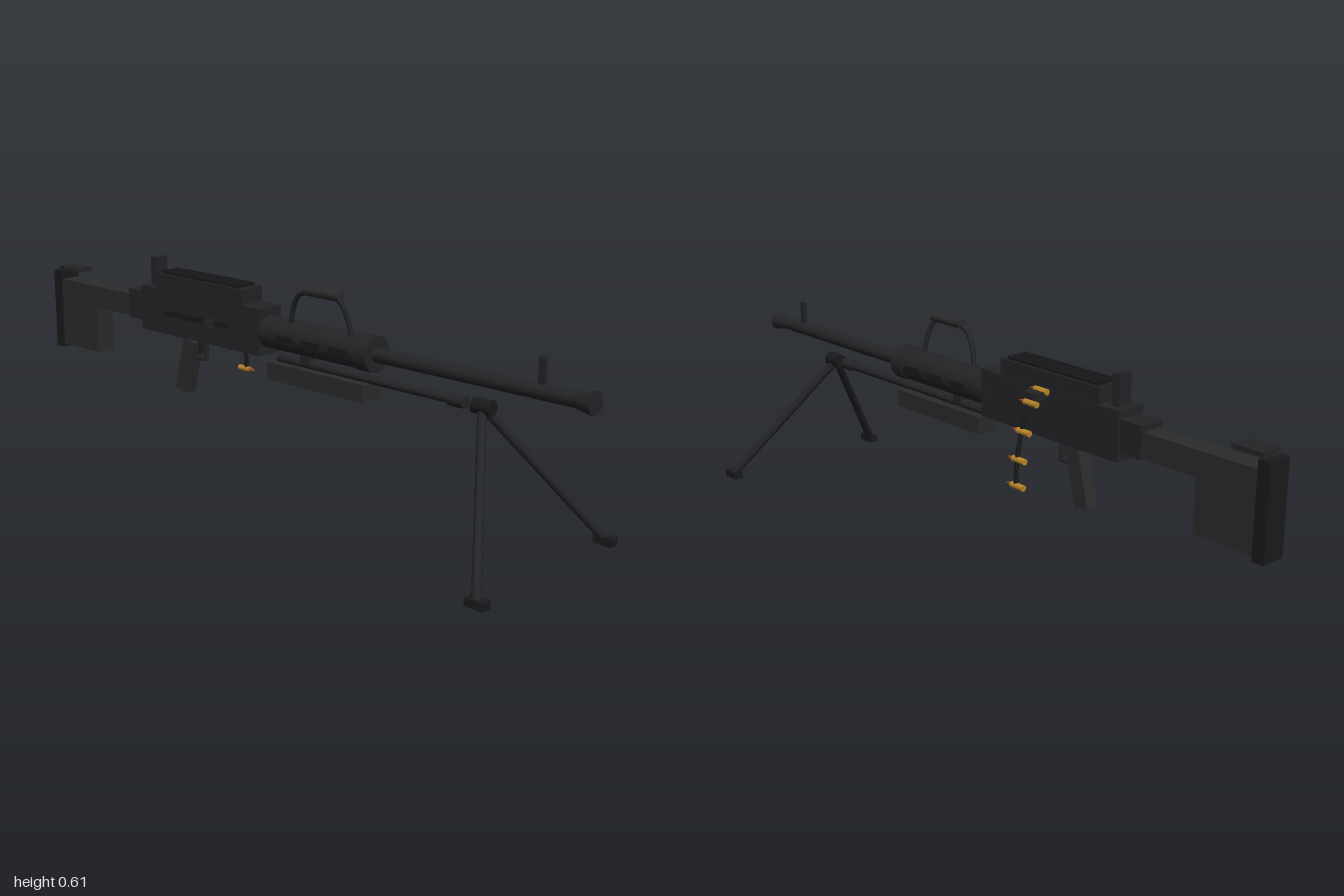
import * as THREE from 'three';

const material = (color) => new THREE.MeshStandardMaterial({ color });
const steel = material(0x242427);
const dark = material(0x1a1a1c);
const polymer = material(0x2b2b2b);
const brass = material(0xb8862b);
const copper = material(0x9a4f2c);
const V = (x, y, z) => new THREE.Vector3(x, y, z);

export function createModel() {
  const root = new THREE.Group();

  const add = (name, geometry, mat = steel, parent = root) => {
    const mesh = new THREE.Mesh(geometry, mat);
    mesh.name = name;
    parent.add(mesh);
    return mesh;
  };
  // Box given by its extents on each axis
  const box = (name, [x0, x1], [y0, y1], [z0, z1], mat, parent) => {
    const mesh = add(name, new THREE.BoxGeometry(x1 - x0, y1 - y0, z1 - z0), mat, parent);
    mesh.position.set((x0 + x1) / 2, (y0 + y1) / 2, (z0 + z1) / 2);
    return mesh;
  };
  // Cylinder along z, r1 at the front end z1
  const rod = (name, x, y, z0, z1, r0, r1 = r0, sides = 16, mat = steel, parent = root) => {
    const mesh = add(name, new THREE.CylinderGeometry(r1, r0, z1 - z0, sides).rotateX(Math.PI / 2), mat, parent);
    mesh.position.set(x, y, (z0 + z1) / 2);
    return mesh;
  };
  // Cylinder between two points
  const strut = (name, a, b, r, mat, parent) => {
    const mesh = add(name, new THREE.CylinderGeometry(r, r, a.distanceTo(b), 12), mat, parent);
    mesh.position.copy(a).lerp(b, 0.5);
    mesh.quaternion.setFromUnitVectors(V(0, 1, 0), b.clone().sub(a).normalize());
    return mesh;
  };
  const sym = (w) => [-w, w];

  // Barrel, muzzle and front sight
  rod('barrel', 0, 0.45, 0.3, 0.95, 0.02);
  rod('muzzleFlare', 0, 0.45, 0.94, 1, 0.019, 0.03);
  box('frontSight', sym(0.006), [0.45, 0.535], [0.845, 0.862]);

  // Barrel shroud with collar and side vents
  rod('barrelShroud', 0, 0.45, -0.06, 0.3, 0.047, 0.047, 12);
  rod('shroudCollar', 0, 0.45, 0.3, 0.345, 0.05, 0.05, 12);
  for (const side of [-1, 1])
    for (const z of [0.05, 0.15, 0.25])
      box('shroudVent', sym(0.004), [0.442, 0.458], [z - 0.032, z + 0.032], dark).position.x = side * 0.045;

  // Gas tube and lower handguard
  rod('gasTube', 0, 0.38, -0.01, 0.59, 0.012);
  rod('gasRegulator', 0, 0.38, 0.585, 0.635, 0.017);
  box('gasTubeBracket', sym(0.012), [0.38, 0.41], [0.08, 0.11]);
  box('lowerHandguard', sym(0.035), [0.322, 0.371], [-0.025, 0.33], polymer);

  // Receiver, top cover and ribs
  box('receiver', sym(0.044), [0.384, 0.518], [-0.55, -0.048]);
  box('topCover', sym(0.041), [0.515, 0.562], [-0.48, -0.12]);
  for (const x of [-0.028, -0.0093, 0.0093, 0.028])
    box('coverRib', [x - 0.005, x + 0.005], [0.56, 0.571], [-0.47, -0.14], dark);
  box('rearSight', sym(0.021), [0.515, 0.603], [-0.53, -0.505]);

  // Charging rail and handle
  box('chargingRail', [-0.054, -0.042], [0.442, 0.46], [-0.435, -0.17], dark);
  box('chargingHandle', [-0.081, -0.05], [0.44, 0.462], [-0.24, -0.22]);

  // Carrying handle, leaning to one side
  const handle = new THREE.Group();
  handle.name = 'carryHandle';
  root.add(handle);
  const arms = [
    [V(-0.015, 0.48, 0.27), V(-0.022, 0.53, 0.263), V(-0.032, 0.575, 0.248), V(-0.037, 0.595, 0.225)],
    [V(-0.015, 0.48, 0.05), V(-0.022, 0.53, 0.063), V(-0.031, 0.575, 0.092), V(-0.037, 0.595, 0.14)],
  ];
  for (const points of arms)
    add('handleArm', new THREE.TubeGeometry(new THREE.CatmullRomCurve3(points), 16, 0.007, 8), steel, handle);
  rod('handleGrip', -0.037, 0.595, 0.125, 0.25, 0.0145, 0.0145, 16, polymer, handle);

  // Shoulder stock
  box('stockMount', sym(0.037), [0.408, 0.496], [-0.62, -0.545]);
  const outline = new THREE.Shape([
    [0.61, 0.478], [0.968, 0.478], [0.968, 0.265], [0.787, 0.265], [0.787, 0.41], [0.61, 0.41],
  ].map(([z, y]) => new THREE.Vector2(z, y)));
  add('stock', new THREE.ExtrudeGeometry(outline, { depth: 0.06, bevelEnabled: false })
    .translate(0, 0, -0.03).rotateY(Math.PI / 2), polymer);
  box('buttPlate', sym(0.035), [0.254, 0.505], [-1, -0.965], dark);
  box('shoulderRest', sym(0.03), [0.508, 0.52], [-0.975, -0.885]);
  box('shoulderRestPost', sym(0.03), [0.49, 0.512], [-0.98, -0.968]);

  // Pistol grip, trigger and guard
  const grip = add('pistolGrip', new THREE.BoxGeometry(0.04, 0.165, 0.045), polymer);
  grip.position.set(0, 0.293, -0.388);
  grip.rotation.x = 0.25;
  box('guardFront', sym(0.008), [0.32, 0.386], [-0.318, -0.311]);
  box('guardBottom', sym(0.008), [0.316, 0.323], [-0.375, -0.311]);
  box('trigger', sym(0.005), [0.335, 0.386], [-0.342, -0.334], dark);

  // Bipod with splayed legs
  const bipod = new THREE.Group();
  bipod.name = 'bipod';
  root.add(bipod);
  rod('bipodHub', 0, 0.38, 0.662, 0.716, 0.021, 0.021, 16, dark, bipod);
  for (const s of [-1, 1]) {
    strut('bipodLeg', V(0, 0.38, 0.685), V(s * 0.27, 0.015, 0.885), 0.012, steel, bipod);
    const foot = box('bipodFoot', sym(0.014), [0, 0.022], [0.86, 0.915], dark, bipod);
    foot.position.x = s * 0.27;
  }

  // Feed tray and hanging cartridge belt
  const belt = new THREE.Group();
  belt.name = 'cartridgeBelt';
  root.add(belt);
  box('feedTray', [0.042, 0.092], [0.496, 0.515], [-0.31, -0.26], steel, belt);
  const rounds = [[0.057, 0.515], [0.093, 0.488], [0.118, 0.416], [0.133, 0.343], [0.137, 0.272]];
  const path = new THREE.CatmullRomCurve3(rounds.map(([x, y]) => V(x, y, -0.285)));
  add('beltStrip', new THREE.TubeGeometry(path, 32, 0.006, 8), dark, belt);
  for (const [x, y] of rounds) {
    rod('cartridgeCase', x, y, -0.315, -0.27, 0.0085, 0.0085, 12, brass, belt);
    rod('bulletTip', x, y, -0.27, -0.25, 0.0075, 0.001, 12, copper, belt);
  }

  return root;
}
